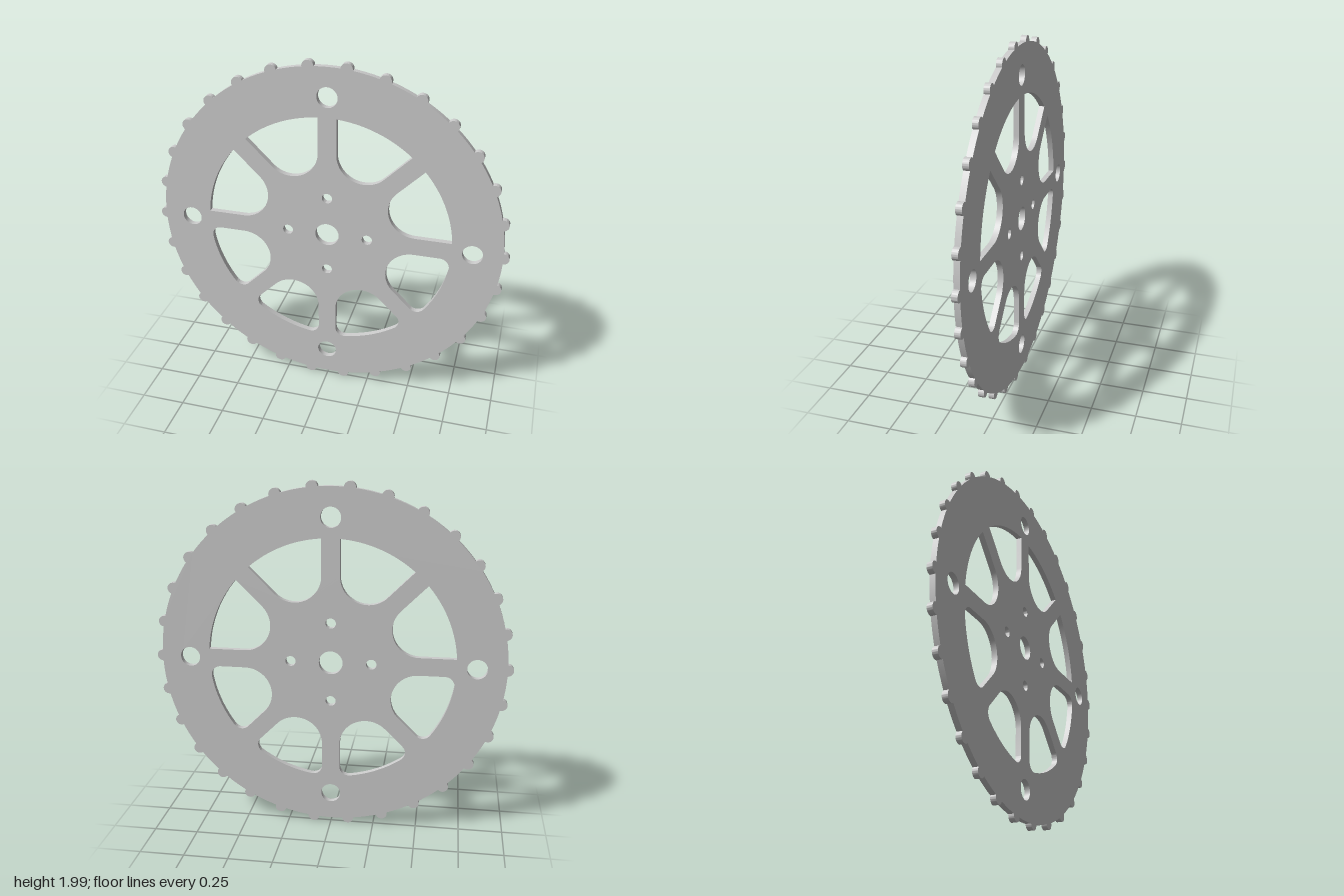
import * as THREE from 'three';
import { toCreasedNormals } from 'three/addons/utils/BufferGeometryUtils.js';

const RIM = 0.968, TOOTH = 0.032, TEETH = 30, THICK = 0.032;
const WINDOW_R = 0.695, SPOKE_HALF = 0.051, INNER_R = 0.152;
const CENTER_Y = RIM * Math.cos(Math.PI / TEETH / 1 - Math.PI / TEETH + THREE.MathUtils.degToRad(6)) + TOOTH;
const Q = Math.PI / 2;

const polar = (r, a) => [r * Math.cos(a), r * Math.sin(a)];

// Rim outline: round teeth alternating with arcs of the disc
function toothedOutline() {
  const shape = new THREE.Shape();
  const step = 2 * Math.PI / TEETH;
  const half = 2 * Math.asin(TOOTH / (2 * RIM));
  for (let i = 0; i < TEETH; i++) {
    const a = i * step;
    shape.absarc(...polar(RIM, a), TOOTH, a - Q - half / 2, a + Q + half / 2, false);
    shape.absarc(0, 0, RIM, a + half, a + step - half, false);
  }
  shape.closePath();
  return shape;
}

function roundHole(x, y, r) {
  return new THREE.Path().absarc(x, y, r, 0, 2 * Math.PI, true);
}

// Opening between two spokes; fillet rounds its outer corners
function spokeWindow(start, fillet) {
  const span = Math.PI / 4;
  const end = start + span;
  const inset = Math.asin((SPOKE_HALF + fillet) / (WINDOW_R - fillet));
  const path = new THREE.Path();
  path.absarc(0, 0, WINDOW_R, start + inset, end - inset, false);
  if (fillet) path.absarc(...polar(WINDOW_R - fillet, end - inset), fillet, end - inset, end + Q, false);
  const reach = (SPOKE_HALF + INNER_R) / Math.sin(span / 2);
  path.absarc(...polar(reach, start + span / 2), INNER_R, end + Q, start + 3 * Q, false);
  if (fillet) path.absarc(...polar(WINDOW_R - fillet, start + inset), fillet, start - Q, start + inset, false);
  path.closePath();
  return path;
}

export function createModel() {
  const group = new THREE.Group();
  group.name = 'sprocketWheel';
  const shape = toothedOutline();

  // Axle hole, then hub bolt holes and rim holes on the four axes
  shape.holes.push(roundHole(0, 0, 0.067));
  for (let i = 0; i < 4; i++) {
    shape.holes.push(roundHole(...polar(0.227, i * Q), 0.029));
    shape.holes.push(roundHole(...polar(0.806, i * Q), 0.056));
  }

  // Upper four windows have sharp outer corners, lower four are rounded
  for (let i = 0; i < 8; i++) shape.holes.push(spokeWindow(i * Math.PI / 4, i < 4 ? 0 : 0.053));

  const geometry = new THREE.ExtrudeGeometry(shape, { depth: THICK, bevelEnabled: false, curveSegments: 14 });
  geometry.translate(0, 0, -THICK / 2);
  const plate = new THREE.Mesh(
    toCreasedNormals(geometry, Math.PI / 6),
    new THREE.MeshStandardMaterial({ color: 0xcccccc })
  );
  plate.name = 'toothedPlate';
  plate.position.y = CENTER_Y;
  group.add(plate);
  return group;
}
